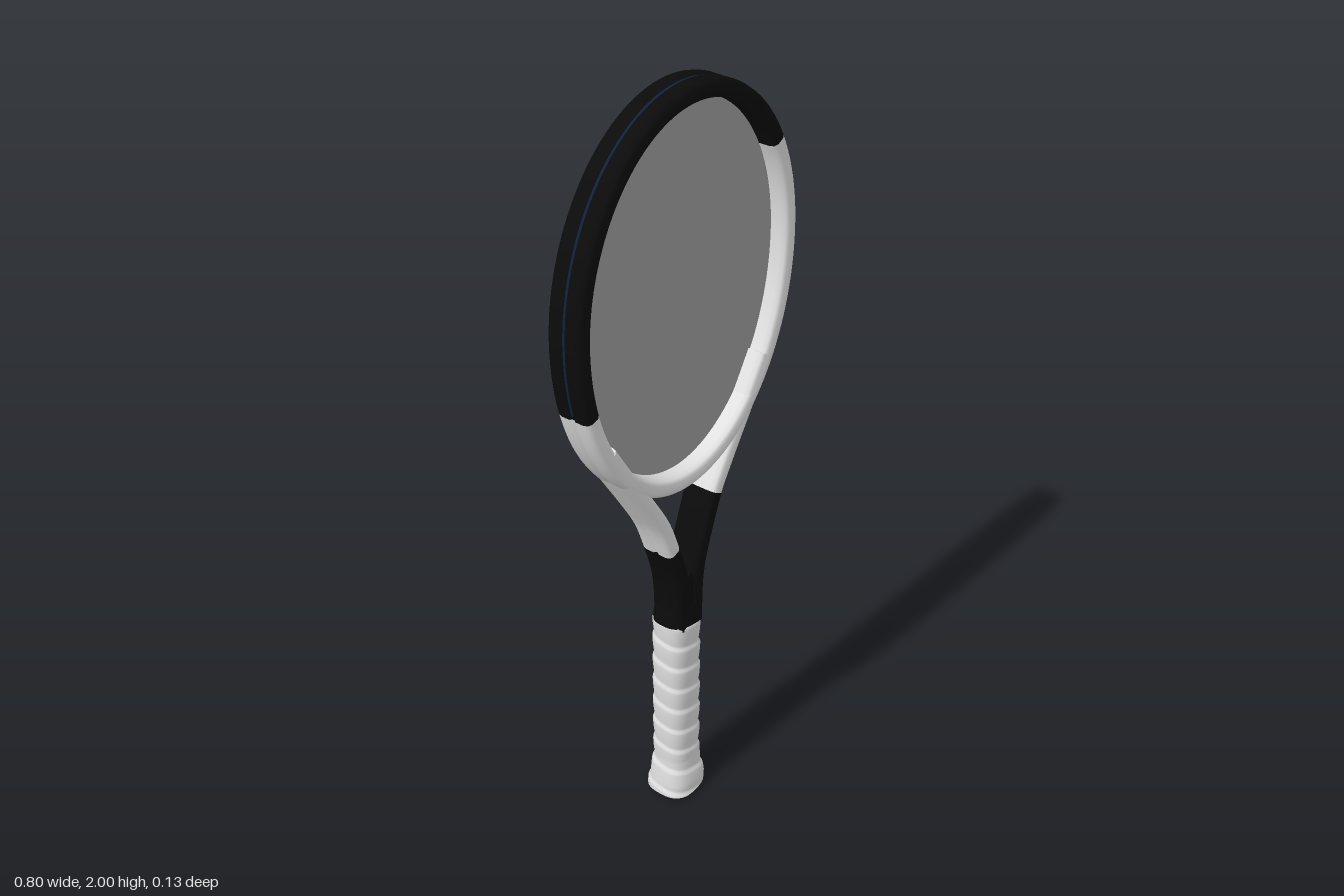
import * as THREE from 'three';

const mat = (name, color) => {
  const m = new THREE.MeshStandardMaterial({ color });
  m.name = name;
  return m;
};

// Skin a list of rings (arrays of [x, y, z]) and close both ends with flat caps
function loft(rings) {
  const n = rings[0].length, pos = [], idx = [];
  rings.forEach(r => r.forEach(p => pos.push(...p)));
  for (let i = 0; i < rings.length - 1; i++) {
    for (let j = 0; j < n; j++) {
      const k = (j + 1) % n, a = i * n, b = a + n;
      idx.push(a + j, b + j, b + k, a + j, b + k, a + k);
    }
  }
  [[rings[0], false], [rings[rings.length - 1], true]].forEach(([ring, flip]) => {
    const c = pos.length / 3;
    pos.push(...[0, 1, 2].map(d => ring.reduce((s, p) => s + p[d], 0) / n));
    ring.forEach(p => pos.push(...p));
    for (let j = 0; j < n; j++) {
      const p = c + 1 + j, q = c + 1 + (j + 1) % n;
      idx.push(c, ...(flip ? [q, p] : [p, q]));
    }
  });
  const g = new THREE.BufferGeometry();
  g.setAttribute('position', new THREE.Float32BufferAttribute(pos, 3));
  g.setIndex(idx);
  g.computeVertexNormals();
  return g;
}

const Z0 = 0.003; // middle plane of the frame

// Sweep a profile of [outward, z] points along a flat path f(t) -> [x, y]
function sweep(f, t0, t1, steps, profile, scale = 1) {
  const rings = [], e = 0.001;
  for (let i = 0; i <= steps; i++) {
    const t = t0 + (t1 - t0) * i / steps;
    const [x, y] = f(t), [ax, ay] = f(t - e), [bx, by] = f(t + e);
    const l = Math.hypot(bx - ax, by - ay), nx = (by - ay) / l, ny = (ax - bx) / l;
    rings.push(profile.map(([u, z]) => [x + nx * u * scale, y + ny * u * scale, Z0 + z * scale]));
  }
  return loft(rings);
}

// Rounded beam with a shallow groove along its outer side
const half = [[0.0185, 0.004], [0.0225, 0.008], [0.0228, 0.03], [0.0195, 0.041], [0.011, 0.047],
  [-0.011, 0.047], [-0.0195, 0.041], [-0.0225, 0.028], [-0.0228, 0.01]];
const beam = [...half, ...half.map(([u, z]) => [u, -z]).reverse()];
const strip = (u, depth, z) => [[u + depth, -z], [u + depth, z], [u, z], [u, -z]];

// Egg-shaped head outline, grown or shrunk by d
const CY = 1.51;
const egg = (d = 0) => t => {
  const s = Math.sin(t);
  return [(0.377 + d) * Math.cos(t), CY + s * ((s > 0 ? 0.467 : 0.513) + d)];
};

// Upright rounded-octagon ring with an optional bump by angle
function ring(y, rx, rz, bump = () => 0, n = 48) {
  return Array.from({ length: n }, (_, j) => {
    const a = j / n * Math.PI * 2, c = Math.cos(a), s = Math.sin(a);
    const k = Math.pow(Math.abs(c) ** 2.8 + Math.abs(s) ** 2.8, -1 / 2.8);
    const b = bump(a);
    return [-0.004 + c * k * (rx + b), y, s * k * (rz + b)];
  });
}

export function createModel() {
  const group = new THREE.Group();
  group.name = 'racket';
  const white = mat('white', 0xe0e0e0);
  const black = mat('black', 0x0b0b0c);
  const grey = mat('string grey', 0xa0a0a0);
  const navy = mat('navy', 0x10213c);
  grey.side = THREE.DoubleSide;
  const add = (name, geometry, material) => {
    const m = new THREE.Mesh(geometry, material);
    m.name = name;
    group.add(m);
    return m;
  };

  // Head hoop: black over the top and one side, white for the rest
  const A = 0.565, B = Math.PI + 0.358;
  add('headBlack', sweep(egg(), A, B, 80, beam, 1.01), black);
  add('headWhite', sweep(egg(), B, A + Math.PI * 2, 90, beam), white);
  add('grooveStrip', sweep(egg(), A + 0.02, B - 0.02, 80, strip(0.018, 0.0015, 0.003)), navy);

  // Dark grommet strip under the bridge
  const bottom = Math.PI * 1.5;
  add('bridgeStrip', sweep(egg(), bottom - 0.3, bottom + 0.3, 20, strip(0.016, 0.0095, 0.017)), black);

  // String bed
  const outline = [];
  for (let i = 0; i < 96; i++) {
    outline.push(new THREE.Vector2(...egg(-0.015)(i / 96 * Math.PI * 2)));
  }
  add('stringBed', new THREE.ShapeGeometry(new THREE.Shape(outline)), grey).position.z = Z0;

  // Two throat shafts that change from white to black at different heights
  const curve = new THREE.CatmullRomCurve3([[0.026, 0.55], [0.027, 0.64], [0.037, 0.72], [0.066, 0.81],
    [0.102, 0.9], [0.15, 0.98], [0.245, 1.125], [0.295, 1.205]].map(([x, y]) => new THREE.Vector3(x, y, 0)));
  const right = t => { const p = curve.getPoint(t); return [p.x, p.y]; };
  const left = t => { const p = curve.getPoint(1 - t); return [-p.x, p.y]; };
  const tAt = y => {
    let lo = 0, hi = 1;
    for (let i = 0; i < 30; i++) {
      const m = (lo + hi) / 2;
      if (curve.getPoint(m).y < y) lo = m; else hi = m;
    }
    return lo;
  };
  const e = 0.002, tl = tAt(0.9), tr = tAt(0.81);
  add('leftShaftBlack', sweep(right, e, tl, 24, beam), black);
  add('leftShaftWhite', sweep(right, tl, 1 - e, 24, beam, 0.985), white);
  add('rightShaftWhite', sweep(left, e, 1 - tr, 28, beam, 0.985), white);
  add('rightShaftBlack', sweep(left, 1 - tr, 1 - e, 20, beam), black);

  // Throat block and the collar above the grip
  add('throat', loft([ring(0.55, 0.048, 0.046), ring(0.64, 0.046, 0.045), ring(0.69, 0.04, 0.043),
    ring(0.705, 0.02, 0.04)]), black);
  add('collar', loft([ring(0.55, 0.056, 0.051), ring(0.575, 0.056, 0.051), ring(0.6, 0.052, 0.049),
    ring(0.612, 0.048, 0.046)]), black);

  // Wrapped grip: flared at the bottom, with a helical overlap ridge
  const flare = [[0.01, 0.068], [0.04, 0.066], [0.075, 0.06], [0.12, 0.054], [0.57, 0.054]];
  const radius = y => {
    const i = Math.max(1, flare.findIndex(p => p[0] >= y));
    const [[y0, r0], [y1, r1]] = [flare[i - 1], flare[i]];
    return r0 + (r1 - r0) * (y - y0) / (y1 - y0);
  };
  const wraps = [];
  for (let i = 0; i <= 130; i++) {
    const y = 0.012 + i / 130 * 0.55, r = radius(y);
    wraps.push(ring(y, r, r - 0.005, a => {
      const s = y / 0.068 - a / (Math.PI * 2), f = s - Math.floor(s);
      return 0.0045 * (f < 0.85 ? Math.sin(f / 0.85 * Math.PI / 2) : (1 - f) / 0.15);
    }));
  }
  add('grip', loft(wraps), white);

  // Butt cap with a grey plate
  add('buttCap', loft([ring(0.004, 0.062, 0.056), ring(0.014, 0.066, 0.06)]), black);
  add('buttPlate', loft([ring(0, 0.046, 0.042), ring(0.005, 0.046, 0.042)]), grey);

  return group;
}
